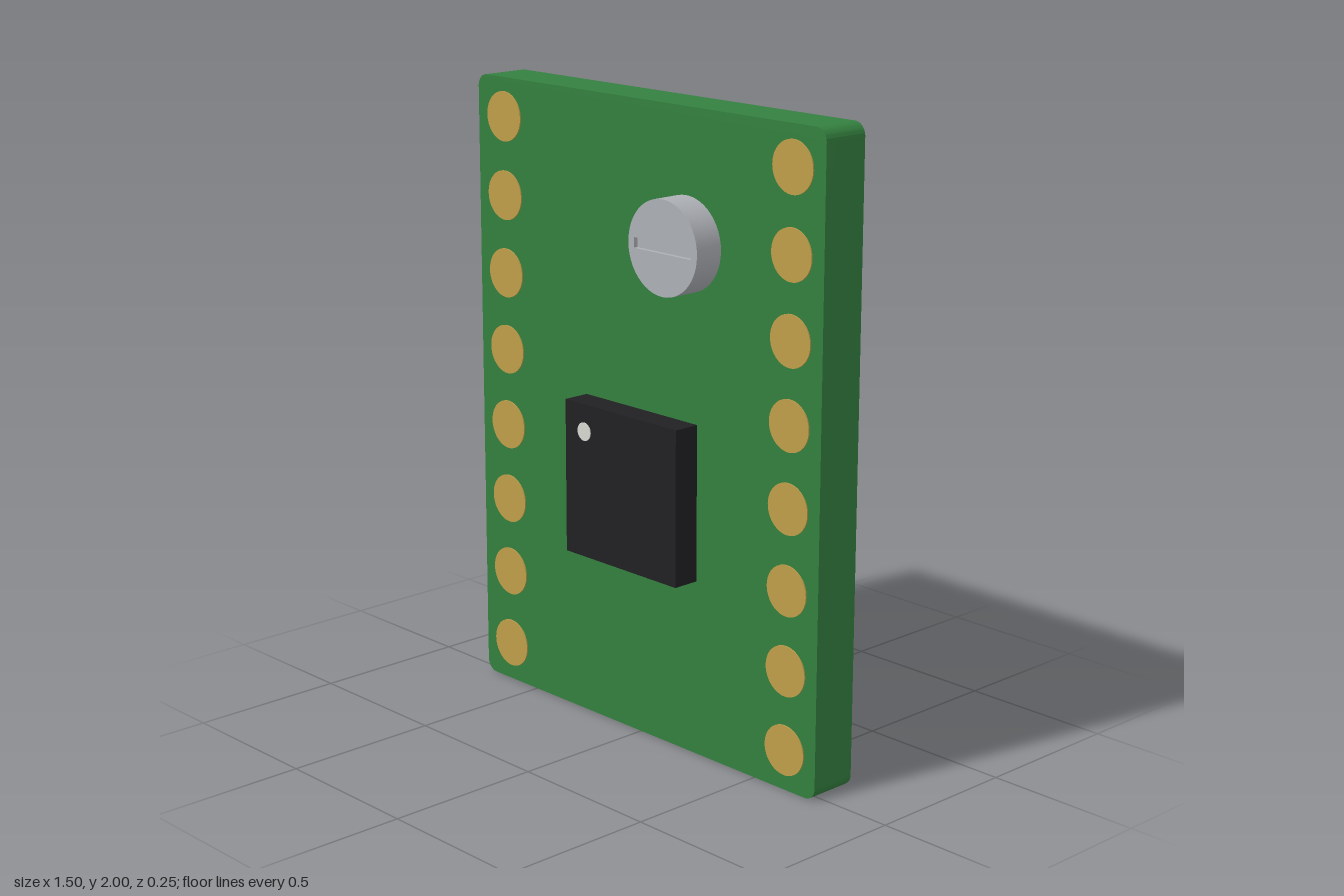
import * as THREE from 'three';
import { toCreasedNormals } from 'three/addons/utils/BufferGeometryUtils.js';

const FACE = 0.03; // z of the board's front surface
const mat = (color) => new THREE.MeshStandardMaterial({ color });

function add(parent, name, geometry, material, x, y, z) {
  const mesh = new THREE.Mesh(geometry, material);
  mesh.name = name;
  mesh.position.set(x, y, z);
  parent.add(mesh);
  return mesh;
}

// Disc standing on z = 0 and facing +z
function disc(radius, depth, segments = 48) {
  return new THREE.CylinderGeometry(radius, radius, depth, segments)
    .rotateX(Math.PI / 2).translate(0, 0, depth / 2);
}

function extrude(shape, depth) {
  const geo = new THREE.ExtrudeGeometry(shape, { depth, bevelEnabled: false, curveSegments: 24 });
  return toCreasedNormals(geo, 0.6);
}

function roundedRect(w, h, r) {
  const s = new THREE.Shape();
  s.absarc(w / 2 - r, h / 2 - r, r, 0, Math.PI / 2);
  s.absarc(-w / 2 + r, h / 2 - r, r, Math.PI / 2, Math.PI);
  s.absarc(-w / 2 + r, -h / 2 + r, r, Math.PI, Math.PI * 1.5);
  s.absarc(w / 2 - r, -h / 2 + r, r, Math.PI * 1.5, Math.PI * 2);
  s.closePath();
  return s;
}

export function createModel() {
  const model = new THREE.Group();
  model.name = 'circuitBoardModule';
  const gold = mat(0xbf9e49);
  const metal = mat(0xadb0b5);
  const black = mat(0x212123);

  // Board with rounded corners
  add(model, 'board', extrude(roundedRect(1.496, 2, 0.04), 0.157), mat(0x34803f), 0, 1, FACE - 0.157);

  // Two columns of solder pads
  const padGeo = disc(0.079, 0.008);
  for (const side of [-1, 1]) {
    for (let i = 0; i < 8; i++) {
      add(model, side < 0 ? 'rightPad' : 'leftPad', padGeo, gold, side * 0.624, 0.127 + i * 0.25, FACE - 0.004);
    }
  }

  // Driver chip with its orientation dot
  add(model, 'chip', new THREE.BoxGeometry(0.492, 0.492, 0.09), black, -0.001, 0.806, FACE + 0.043);
  add(model, 'chipDot', disc(0.029, 0.006, 32), mat(0xd8d8d2), -0.16, 0.965, 0.115);

  // Adjusting screw: solid base below a cap cut through by the slot
  const screw = new THREE.Group();
  screw.name = 'adjustingScrew';
  screw.position.set(0.195, 1.594, FACE);
  const cap = new THREE.Shape().absarc(0, 0, 0.145, 0, Math.PI * 2);
  const slot = new THREE.Path();
  slot.moveTo(-0.12, -0.016).lineTo(-0.12, 0.016).lineTo(0.12, 0.016).lineTo(0.12, -0.016).closePath();
  cap.holes.push(slot);
  add(screw, 'screwBase', disc(0.145, 0.083), metal, 0, 0, 0);
  add(screw, 'screwCap', extrude(cap, 0.014), metal, 0, 0, 0.083);
  model.add(screw);

  return model;
}
